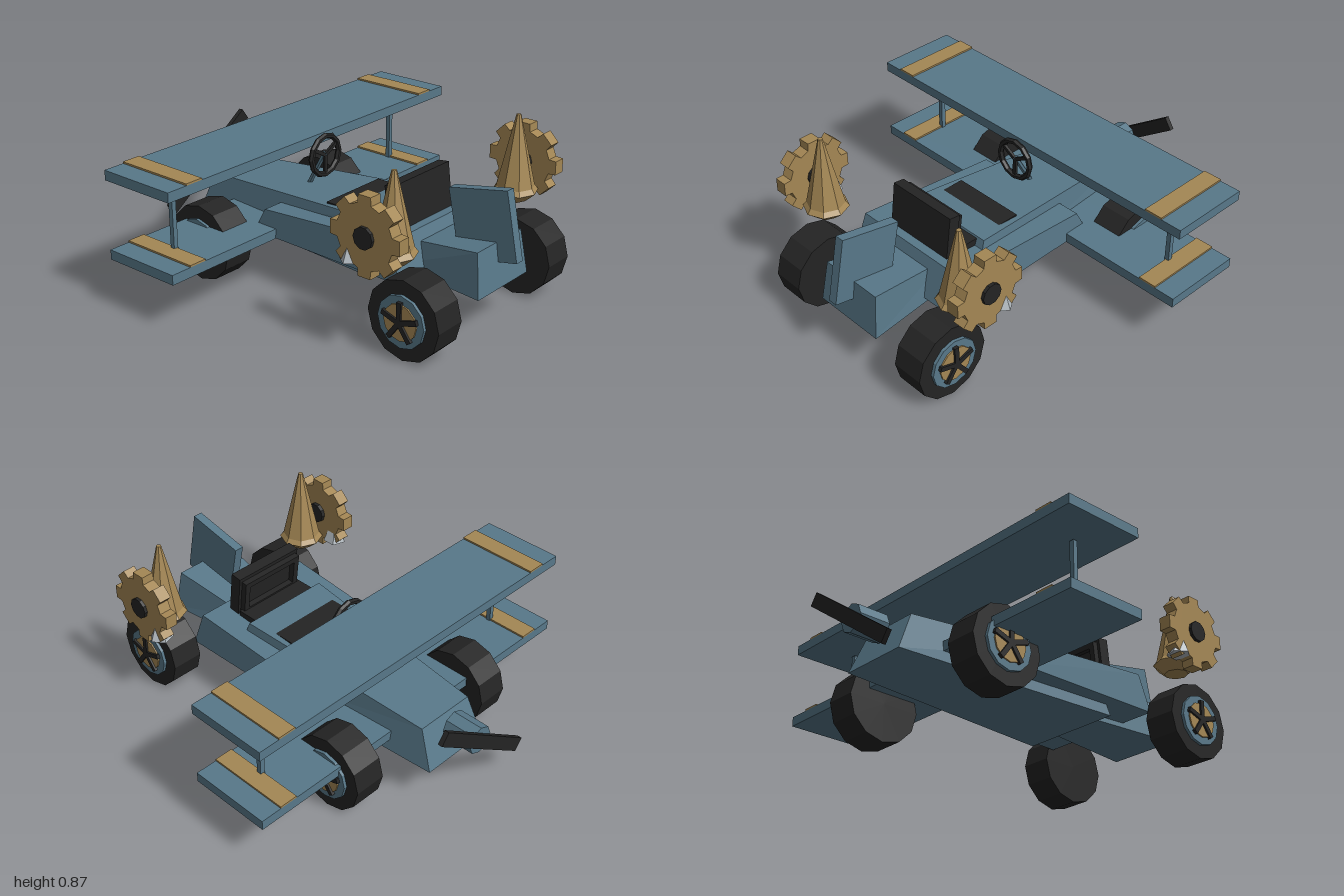
import * as THREE from 'three';

const colour = (name, color) => {
  const m = new THREE.MeshStandardMaterial({ color });
  m.name = name;
  return m;
};

export function createModel() {
  const blue = colour('slate blue', 0x587889);
  const gold = colour('brass', 0xa48754);
  const black = colour('rubber black', 0x242424);
  const silver = colour('silver', 0xb4bcc2);
  const model = new THREE.Group();

  // adds a faceted mesh
  function add(name, geometry, material, x = 0, y = 0, z = 0, parent = model) {
    const g = geometry.index ? geometry.toNonIndexed() : geometry;
    g.computeVertexNormals();
    const mesh = new THREE.Mesh(g, material);
    mesh.name = name;
    mesh.position.set(x, y, z);
    parent.add(mesh);
    return mesh;
  }
  const box = (w, h, d) => new THREE.BoxGeometry(w, h, d);
  const drum = (r, w, n) => new THREE.CylinderGeometry(r, r, w, n).rotateZ(Math.PI / 2);

  // tapered block; each end edge is [half width, y, z]
  function block(topBack, topFront, lowBack, lowFront) {
    const g = box(2, 2, 2), p = g.attributes.position;
    for (let i = 0; i < p.count; i++) {
      const up = p.getY(i) > 0, plusZ = p.getZ(i) > 0;
      const [w, y, z] = up ? (plusZ ? topBack : topFront) : (plusZ ? lowBack : lowFront);
      p.setXYZ(i, p.getX(i) * w, y, z);
    }
    return g;
  }

  // body sections
  add('noseBody', block([0.24, 0.475, 0.29], [0.16, 0.4, -0.77], [0.275, 0.2, 0.38], [0.185, 0.2, -0.85]), blue);
  add('cockpitBody', block([0.335, 0.447, 0.53], [0.32, 0.386, -0.26], [0.345, 0.257, 0.595], [0.325, 0.257, -0.33]), blue);
  add('tailBody', block([0.172, 0.447, 0.89], [0.12, 0.37, 0.42], [0.195, 0.23, 0.92], [0.14, 0.23, 0.4]), blue);
  add('tailFin', box(0.048, 0.34, 0.322), blue, 0, 0.508, 0.81).rotation.x = -0.2;

  // seat
  add('seatCushion', box(0.39, 0.05, 0.38), black, 0, 0.44, 0.22);
  const seatBack = new THREE.Group();
  seatBack.name = 'seatBack';
  seatBack.position.set(0, 0.55, 0.43);
  seatBack.rotation.x = -0.12;
  model.add(seatBack);
  add('seatShell', box(0.39, 0.22, 0.06), black, 0, 0, 0.01, seatBack);
  const rim = new THREE.Shape([[-0.18, -0.1], [0.18, -0.1], [0.18, 0.09], [-0.18, 0.09]].map(p => new THREE.Vector2(...p)));
  rim.holes.push(new THREE.Path([[-0.15, -0.07], [-0.15, 0.06], [0.15, 0.06], [0.15, -0.07]].map(p => new THREE.Vector2(...p))));
  add('seatFrame', new THREE.ExtrudeGeometry(rim, { depth: 0.03, bevelEnabled: false }), black, 0, 0, -0.05, seatBack);

  // steering wheel and column
  add('steeringWheel', new THREE.TorusGeometry(0.1, 0.015, 6, 12), black, 0, 0.603, -0.15);
  for (let i = 0; i < 3; i++) {
    const a = Math.PI / 2 + (i * Math.PI * 2) / 3;
    add('steeringSpoke', box(0.1, 0.018, 0.014), black, -Math.cos(a) * 0.05, 0.603 - Math.sin(a) * 0.05, -0.15).rotation.z = a;
  }
  add('steeringColumn', new THREE.CylinderGeometry(0.013, 0.013, 0.24, 6), blue, 0, 0.51, -0.21).rotation.x = 0.52;

  // wings with painted bands
  for (const [name, y] of [['upperWing', 0.68], ['lowerWing', 0.28]]) {
    add(name, box(2, 0.05, 0.425), blue, 0, y, -0.397);
    for (const s of [-1, 1]) add(name + 'Band', box(0.095, 0.009, 0.425), gold, s * 0.842, y + 0.0295, -0.397);
  }

  // propeller
  add('propellerHub', new THREE.CylinderGeometry(0.072, 0.072, 0.16, 8).rotateX(Math.PI / 2), blue, 0, 0.365, -0.9);
  add('propellerBlade', box(0.682, 0.07, 0.024), black, 0, 0.365, -0.988).rotation.z = 0.61;

  // cogwheel outline, a tooth every eighth of a turn
  const cog = new THREE.Shape();
  for (let i = 0; i < 8; i++) {
    for (const [r, off] of [[0.155, -0.24], [0.193, -0.18], [0.193, 0.18], [0.155, 0.24]]) {
      const a = (i * Math.PI) / 4 + off;
      if (i === 0 && off === -0.24) cog.moveTo(r * Math.cos(a), r * Math.sin(a));
      else cog.lineTo(r * Math.cos(a), r * Math.sin(a));
    }
  }
  const cogGeometry = new THREE.ExtrudeGeometry(cog, { depth: 0.064, bevelEnabled: false })
    .translate(0, 0, -0.032).rotateY(Math.PI / 2);
  const spireProfile = [[0, 0.44], [0.06, 0.44], [0.113, 0.487], [0.095, 0.51], [0.012, 0.87], [0, 0.87]]
    .map(p => new THREE.Vector2(...p));

  for (const s of [-1, 1]) {
    add('wingStrut', box(0.024, 0.345, 0.024), blue, s * 0.8, 0.473, -0.387);

    // wheels with layered hubs
    for (const [name, z] of [['tailWheel', 0.748], ['noseWheel', -0.518]]) {
      const wheel = new THREE.Group();
      wheel.name = name;
      wheel.position.set(s * 0.435, 0.201, z);
      model.add(wheel);
      add('tyre', drum(0.196, 0.165, 12), black, 0, 0, 0, wheel);
      add('rim', drum(0.128, 0.03, 12), blue, s * 0.083, 0, 0, wheel);
      add('hubDisc', drum(0.09, 0.03, 12), gold, s * 0.09, 0, 0, wheel);
      for (let i = 0; i < 5; i++) {
        const spoke = box(0.03, 0.1, 0.024).translate(0, 0.05, 0);
        add('wheelSpoke', spoke, black, s * 0.1, 0, 0, wheel).rotation.x = (i * Math.PI * 2) / 5;
      }
    }

    // cogwheel, spike and spire on each side
    add('cogwheel', cogGeometry, gold, s * 0.602, 0.604, 0.625);
    add('cogHub', drum(0.053, 0.1, 10), black, s * 0.6, 0.604, 0.628);
    add('spike', new THREE.ConeGeometry(0.06, 0.155, 5).rotateY(s * Math.PI / 2), silver, s * 0.6, 0.538, 0.53);
    add('spire', new THREE.LatheGeometry(spireProfile, 8), gold, s * 0.473, 0, 0.655);
  }
  return model;
}
